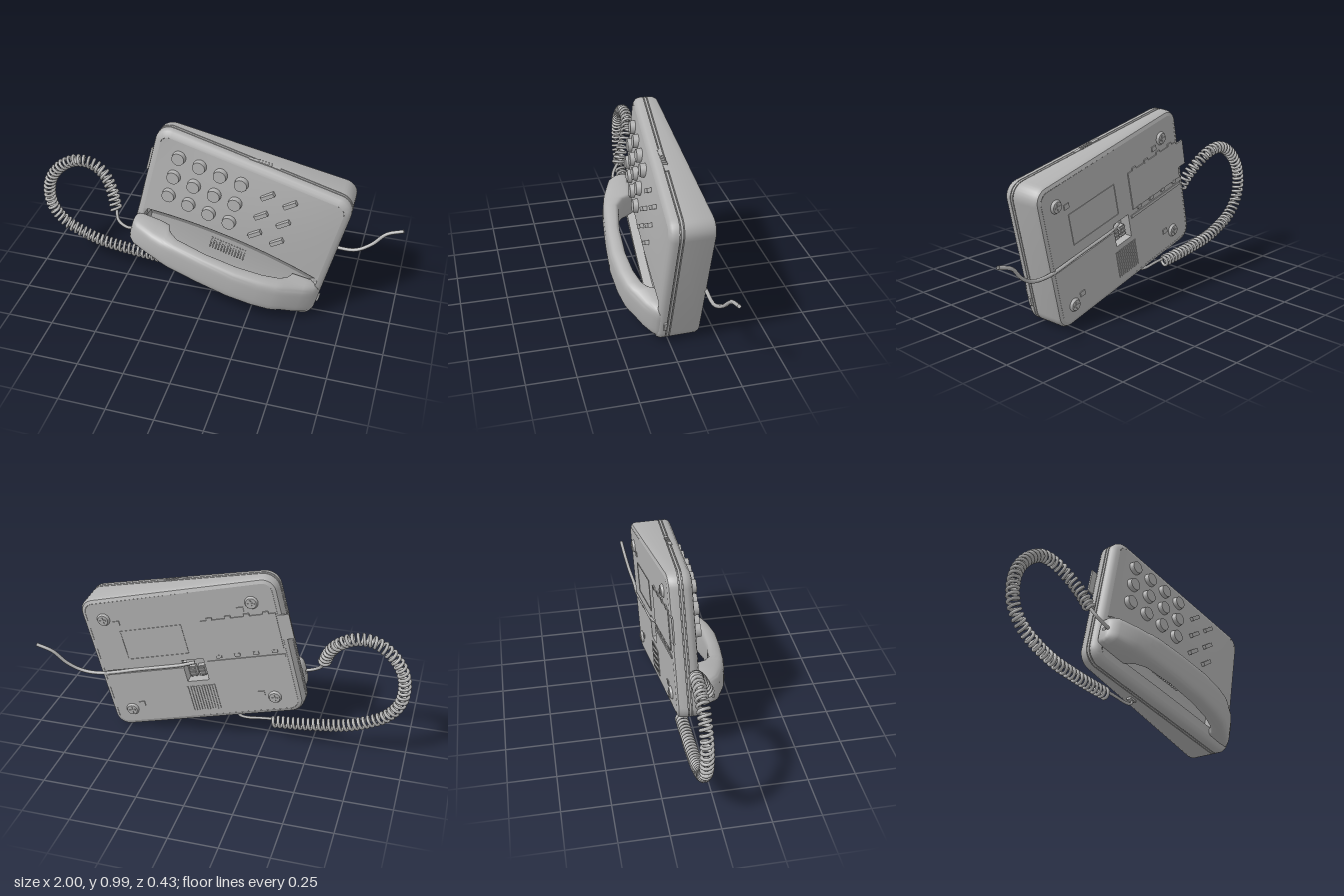
import * as THREE from 'three';
import { toCreasedNormals } from 'three/addons/utils/BufferGeometryUtils.js';

const W = 0.538, H = 0.396, R = 0.08; // half width, half height, corner radius of the body
const seamZ = (u, v) => -0.0325 + 0.056 * u - 0.032 * v;
const backZ = (u, v) => -0.1515 - 0.048 * u - 0.032 * v;

// Skin over rows of points; closed joins the last column to the first
function skin(rows, closed, crease = 0.6) {
  const n = rows[0].length, idx = [];
  for (let i = 0; i < rows.length - 1; i++) {
    for (let j = 0; j < (closed ? n : n - 1); j++) {
      const k = (j + 1) % n, a = i * n + j, b = i * n + k, c = (i + 1) * n + k, d = (i + 1) * n + j;
      idx.push(a, b, c, a, c, d);
    }
  }
  const g = new THREE.BufferGeometry();
  g.setAttribute('position', new THREE.Float32BufferAttribute(rows.flat(2), 3));
  g.setIndex(idx);
  return toCreasedNormals(g, crease);
}

// Counter-clockwise rounded rectangle, inset from the body outline
function outline(inset) {
  const pts = [], r = R - inset, seg = 8;
  for (let c = 0; c < 4; c++) {
    const sx = c === 0 || c === 3 ? 1 : -1, sy = c < 2 ? 1 : -1;
    for (let i = 0; i <= seg; i++) {
      const t = (c + i / seg) * Math.PI / 2;
      pts.push([sx * (W - R) + r * Math.cos(t), sy * (H - R) + r * Math.sin(t)]);
    }
  }
  return pts;
}

// Front surface height: a gentle dome above the tilted seam plane
const A = W - 0.035, B = H - 0.035;
function frontZ(u, v) {
  const s = Math.min(1, Math.abs(u) / A), t = Math.min(1, Math.abs(v) / B);
  return seamZ(u, v) + 0.06 + 0.03 * (1 - s * s) * (1 - t * t);
}

// Front panel with the sunken handset cradle
function panelGeometry() {
  const r = R - 0.035, rows = [];
  const edge = [0, 0.003, 0.01, 0.022, 0.045];
  const brow = s => -0.12 + 0.065 * (1 - s * s);
  const lines = edge.map(e => [() => B - e, 0]);
  for (let i = 1; i <= 7; i++) lines.push([s => THREE.MathUtils.lerp(B - 0.045, brow(s), i / 7), 0]);
  lines.push([s => brow(s) - 0.006, 0.012], [s => brow(s) - 0.06, 0.05], [() => -0.25, 0.055],
    [() => -0.3, 0.045], [() => -0.314, 0]);
  edge.slice(0, 4).reverse().forEach(e => lines.push([() => -B + e, 0]));
  for (const [f, depth] of lines) {
    const row = [];
    for (let j = 0; j <= 48; j++) {
      const s = 1 - j / 24, v = f(s), over = Math.max(0, Math.abs(v) - (B - r));
      const u = s * (A - r + Math.sqrt(Math.max(0, r * r - over * over)));
      row.push([u, v, frontZ(u, v) - depth * Math.min(1, (1 - Math.abs(s)) / 0.08)]);
    }
    rows.push(row);
  }
  return skin(rows, false, 0.4);
}

// Arched handset: [u, inner z, outer z, width factor]
function handsetGeometry() {
  const stations = [[-0.535, 0.02, 0.045, 0.1], [-0.534, 0, 0.06, 0.7], [-0.525, -0.01, 0.08, 0.87],
    [-0.5, -0.02, 0.108, 0.97], [-0.4, -0.02, 0.15, 1], [-0.345, -0.01, 0.165, 1], [-0.32, 0.05, 0.171, 1],
    [-0.27, 0.092, 0.18, 0.99], [-0.1, 0.122, 0.2, 0.97], [0.08, 0.128, 0.213, 0.97], [0.22, 0.115, 0.204, 0.98],
    [0.31, 0.09, 0.187, 0.99], [0.35, 0.06, 0.172, 1], [0.37, 0.01, 0.163, 1], [0.45, 0.01, 0.125, 1],
    [0.5, 0.01, 0.09, 0.97], [0.522, 0.01, 0.07, 0.86], [0.53, 0.015, 0.055, 0.65], [0.531, 0.025, 0.045, 0.1]];
  const pow = (x, p) => Math.sign(x) * Math.pow(Math.abs(x), p);
  return skin(stations.map(([u, zin, zout, k]) => {
    const half = k * (0.093 + 0.02 * u), mid = -0.248 - 0.02 * u, row = [];
    for (let j = 0; j < 32; j++) {
      const t = j / 32 * Math.PI * 2, y = pow(Math.sin(t), 0.5);
      const taper = 1 - 0.13 * Math.max(0, y);
      row.push([u, mid + half * taper * pow(Math.cos(t), 0.5), (zin + zout) / 2 + y * (zout - zin) / 2]);
    }
    return row;
  }), true, 0.7);
}

// Helix wound around a path
class Coil extends THREE.Curve {
  constructor(path, turns, radius) {
    super();
    this.path = path; this.turns = turns; this.radius = radius;
    this.arcLengthDivisions = 2500;
  }
  getPoint(t, target = new THREE.Vector3()) {
    const tan = this.path.getTangentAt(t), a = t * this.turns * Math.PI * 2;
    const n = new THREE.Vector3(0, 0, 1).cross(tan).normalize(), b = tan.clone().cross(n);
    return target.copy(this.path.getPointAt(t))
      .addScaledVector(n, Math.cos(a) * this.radius).addScaledVector(b, Math.sin(a) * this.radius);
  }
}

const curve = pts => new THREE.CatmullRomCurve3(pts.map(p => new THREE.Vector3(...p)));

export function createModel() {
  const grey = new THREE.MeshStandardMaterial({ color: 0xb0b0b0, side: THREE.DoubleSide });
  grey.name = 'grey plastic';
  const model = new THREE.Group(), phone = new THREE.Group(), back = new THREE.Group();
  model.name = 'telephone'; phone.name = 'base'; back.name = 'underside';
  phone.position.set(0.14, 0.495, 0);
  phone.rotation.z = -0.237;
  back.position.z = -0.1515;
  back.rotation.set(-0.032, 0.048, 0);
  model.add(phone);
  phone.add(back);
  const add = (parent, name, geo, x = 0, y = 0, z = 0) => {
    const m = new THREE.Mesh(geo, grey);
    m.name = name;
    m.position.set(x, y, z);
    parent.add(m);
    return m;
  };
  const box = (parent, name, w, h, d, x, y, z) => add(parent, name, new THREE.BoxGeometry(w, h, d), x, y, z);

  // Case wall with a double seam groove
  const wall = [[0.03, backZ, 0], [0.012, backZ, 0.007], [0.003, backZ, 0.022],
    [0, seamZ, -0.011], [0.008, seamZ, -0.011], [0.008, seamZ, -0.006], [0, seamZ, -0.006], [0, seamZ, 0.006],
    [0.008, seamZ, 0.006], [0.008, seamZ, 0.011], [0, seamZ, 0.011], [0, seamZ, 0.03],
    [0.006, seamZ, 0.045], [0.018, seamZ, 0.055], [0.035, seamZ, 0.06]];
  add(phone, 'caseWall', skin(wall.map(([inset, f, dz]) =>
    outline(inset).map(([u, v]) => [u, v, f(u, v) + dz])), true));
  add(phone, 'frontPanel', panelGeometry());
  add(phone, 'handset', handsetGeometry());

  // Number keys and slanted function keys
  const keyGeo = new THREE.CylinderGeometry(0.034, 0.038, 0.034, 24).rotateX(Math.PI / 2);
  const barGeo = new THREE.BoxGeometry(0.074, 0.022, 0.03);
  for (let row = 0; row < 3; row++) {
    const v = 0.277 - row * 0.119;
    for (let col = 0; col < 4; col++) {
      const u = -0.386 + col * 0.1165;
      add(phone, 'numberKey', keyGeo, u, v, frontZ(u, v) + 0.008).rotation.set(-0.032, -0.056, 0);
    }
    for (const u of [0.111, 0.233]) {
      add(phone, 'functionKey', barGeo, u, v - 0.005, frontZ(u, v) + 0.005).rotation.z = 0.78;
    }
  }

  // Speaker ribs in the cradle
  for (let i = 0; i < 13; i++) {
    const u = -0.1 + i * 0.016;
    box(phone, 'speakerRib', 0.007, 0.07, 0.008, u, -0.18, frontZ(u, -0.18) - 0.05);
  }

  // Volume slider on the top edge, sockets on the right and bottom edges
  box(phone, 'sliderPlate', 0.17, 0.006, 0.02, 0.04, H, seamZ(0.04, H) + 0.003);
  for (let i = 0; i < 5; i++) box(phone, 'sliderRidge', 0.008, 0.014, 0.024, 0.01 + i * 0.016, H, seamZ(0.04, H));
  box(phone, 'sideSwitch', 0.02, 0.045, 0.016, W, -0.26, seamZ(W, -0.26) + 0.02);
  box(phone, 'cordSocket', 0.04, 0.02, 0.03, -0.15, -H, -0.07);

  // Back plate with the plug pocket and cord channel cut out
  const pocket = [[-0.06, -0.15], [0.06, -0.15], [0.06, -0.063], [0.5, -0.063], [0.5, -0.037],
    [0.06, -0.037], [0.06, -0.02], [-0.06, -0.02]];
  const plate = new THREE.Shape(outline(0.03).map(p => new THREE.Vector2(...p)));
  plate.holes.push(new THREE.Path(pocket.map(p => new THREE.Vector2(...p))));
  const plateGeo = new THREE.ShapeGeometry(plate);
  plateGeo.rotateY(Math.PI).scale(-1, 1, 1);
  add(back, 'backPlate', plateGeo);
  add(back, 'pocketWall', skin([0, 0.06].map(z => pocket.map(([u, v]) => [u, v, z])), true, 0.3));
  add(back, 'pocketFloor', new THREE.PlaneGeometry(0.12, 0.13), 0, -0.085, 0.06);
  add(back, 'channelFloor', new THREE.PlaneGeometry(0.44, 0.026), 0.28, -0.05, 0.022);
  for (const x of [-0.025, 0.025]) {
    box(back, 'plugBlock', 0.035, 0.06, 0.03, x, -0.105, 0.04);
    for (let i = 0; i < 3; i++) box(back, 'plugTooth', 0.03, 0.008, 0.01, x, -0.085 - i * 0.02, 0.022);
  }

  // Round feet with raised crosses, and wall-mount clips beside them
  const footGeo = new THREE.CylinderGeometry(0.036, 0.028, 0.014, 24).rotateX(Math.PI / 2);
  for (const u of [-0.39, 0.42]) {
    for (const v of [-0.29, 0.27]) {
      add(back, 'foot', footGeo, u, v, -0.006);
      box(back, 'footCross', 0.036, 0.008, 0.006, u, v, -0.014);
      box(back, 'footCross', 0.008, 0.036, 0.006, u, v, -0.014);
      box(back, 'mountClip', 0.034, 0.026, 0.006, u - 0.065 * Math.sign(u), v + 0.03 * Math.sign(-v), -0.002);
    }
  }

  // Label frame, battery cover with clips, cord bar and vent slats
  for (const v of [0.02, 0.19]) box(back, 'labelEdge', 0.34, 0.004, 0.004, 0.18, v, -0.001);
  for (const u of [0.01, 0.35]) box(back, 'labelEdge', 0.004, 0.17, 0.004, u, 0.105, -0.001);
  box(back, 'batteryCover', 0.4, 0.21, 0.008, -0.3, 0.095, -0.001);
  box(back, 'coverTab', 0.1, 0.14, 0.009, -0.515, 0.113, 0.004);
  for (let i = 0; i < 4; i++) {
    for (const v of [-0.015, 0.205]) box(back, 'coverClip', 0.03, 0.018, 0.01, -0.15 - i * 0.1, v, -0.002);
  }
  box(back, 'cordBar', 0.42, 0.016, 0.008, -0.29, -0.045, -0.001);
  for (let i = 0; i < 11; i++) box(back, 'ventSlat', 0.008, 0.15, 0.007, -0.08 + i * 0.015, -0.255, -0.001);

  // Coiled handset cord with straight leads at both ends
  const coilPath = curve([[-0.53, 0.465, 0.02], [-0.565, 0.56, -0.02], [-0.62, 0.635, -0.055], [-0.7, 0.68, -0.07],
    [-0.79, 0.68, -0.07], [-0.88, 0.625, -0.07], [-0.945, 0.535, -0.07], [-0.965, 0.43, -0.07],
    [-0.945, 0.33, -0.07], [-0.88, 0.25, -0.07], [-0.79, 0.2, -0.07], [-0.68, 0.16, -0.07],
    [-0.55, 0.138, -0.07], [-0.42, 0.122, -0.07], [-0.29, 0.112, -0.07]]);
  const tube = (name, path, seg, r) => add(model, name, new THREE.TubeGeometry(path, seg, r, 7));
  tube('coiledCord', new Coil(coilPath, 56, 0.027), 840, 0.0085);
  tube('handsetLead', curve([[-0.41, 0.385, 0.05], [-0.46, 0.39, 0.06], [-0.51, 0.42, 0.05], [-0.53, 0.475, 0.015]]), 20, 0.009);
  tube('baseLead', curve([[-0.3, 0.13, -0.07], [-0.22, 0.122, -0.07], [-0.14, 0.113, -0.07],
    [-0.1, 0.123, -0.07], [-0.09, 0.17, -0.07]]), 24, 0.008);

  // Line cord leaving through the channel
  tube('lineCord', curve([[0.13, 0.446, -0.125], [0.2, 0.43, -0.147], [0.42, 0.376, -0.158], [0.653, 0.32, -0.17],
    [0.76, 0.322, -0.172], [0.84, 0.365, -0.188], [0.91, 0.435, -0.205], [0.998, 0.468, -0.212]]), 60, 0.01);
  return model;
}
